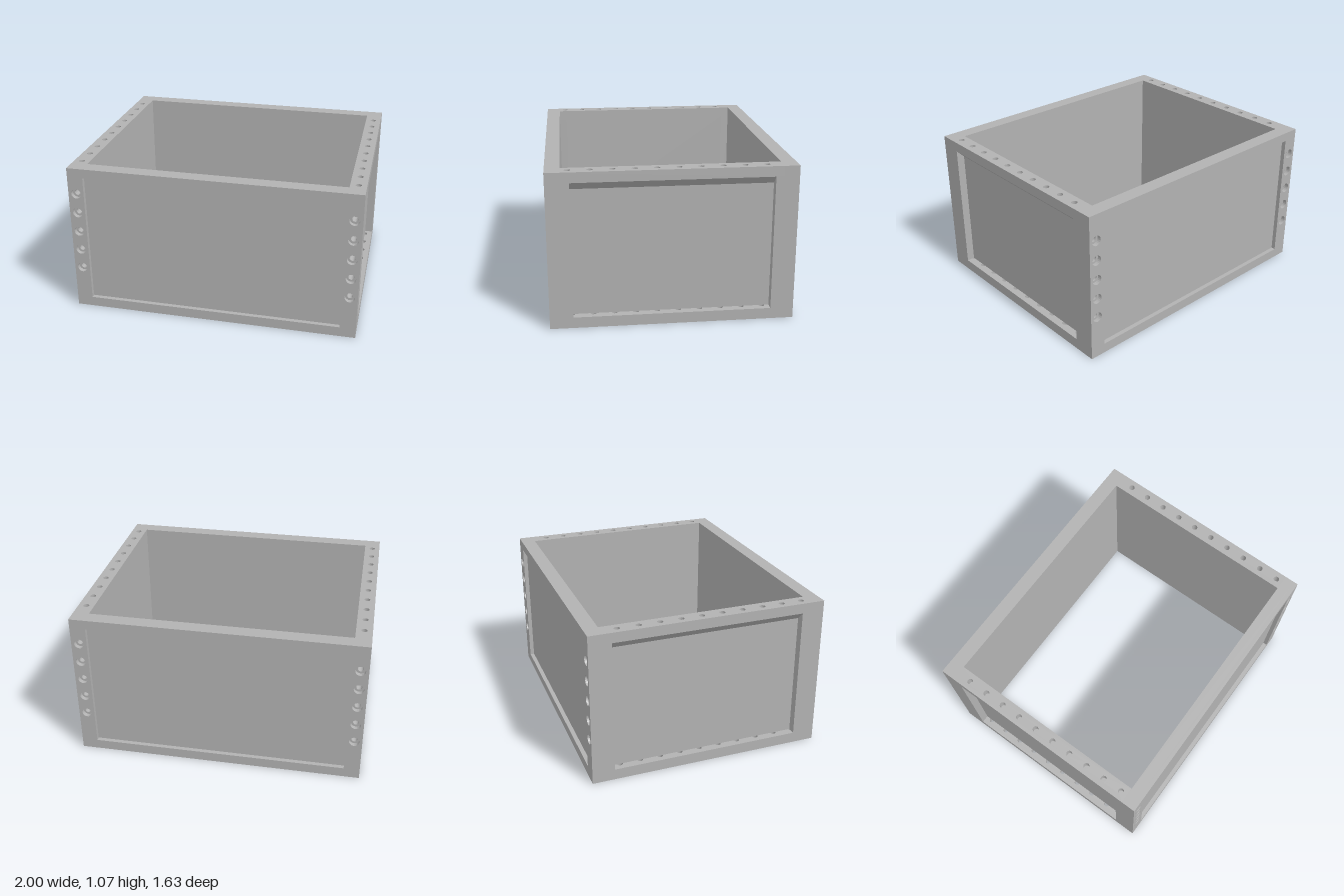
import * as THREE from 'three';

const W = 1, D = 0.815, H = 1.065;      // outer half width, half depth, height
const IN_X = 0.89, IN_Z = 0.715;        // inner opening half sizes
const BOLT_X = 0.945;                   // hole line along the side walls
const LOW = 0.075, HIGH = 0.995, POST_Z = 0.66; // side recess limits
const LIP = 0.03;                       // depth of the front and back recess

const rectPoints = (x0, y0, x1, y1) => [[x0, y0], [x1, y0], [x1, y1], [x0, y1]]
  .map(([x, y]) => new THREE.Vector2(x, y));

const circlePath = (x, y, r) => new THREE.Path().absarc(x, y, r, 0, Math.PI * 2, true);

const extrude = (shape, depth) =>
  new THREE.ExtrudeGeometry(shape, { depth, bevelEnabled: false, curveSegments: 10 });

export function createModel() {
  const model = new THREE.Group();
  model.name = 'openFrameBox';
  const grey = new THREE.MeshStandardMaterial({ color: 0xb2b2b2 });
  grey.name = 'plain grey';

  const add = (parent, name, geometry) => {
    const mesh = new THREE.Mesh(geometry, grey);
    mesh.name = name;
    parent.add(mesh);
    return mesh;
  };

  // Front or back wall: outer frame with counterbores, then panel with narrower holes
  const endWall = (name) => {
    const wall = new THREE.Group();
    wall.name = name;
    const frame = new THREE.Shape(rectPoints(-W, 0, W, H));
    frame.holes.push(new THREE.Path(rectPoints(-IN_X, 0.07, IN_X, 1)));
    const panel = new THREE.Shape(rectPoints(-W, 0, W, H));
    for (const side of [-1, 1]) {
      for (let i = 0; i < 5; i++) {
        const y = 0.31 + i * 0.1425;
        frame.holes.push(circlePath(side * BOLT_X, y, 0.035));
        panel.holes.push(circlePath(side * BOLT_X, y, 0.02));
      }
    }
    add(wall, 'outerFrame', extrude(frame, LIP)).position.z = D - LIP;
    add(wall, 'panel', extrude(panel, D - LIP - IN_Z)).position.z = IN_Z;
    model.add(wall);
    return wall;
  };
  endWall('frontWall');
  endWall('backWall').rotation.y = Math.PI;

  // Horizontal rail with a row of vertical holes
  const railGeometry = (side, height) => {
    const a = side * IN_X, b = side * W;
    const shape = new THREE.Shape(
      rectPoints(Math.min(a, b), -IN_Z, Math.max(a, b), IN_Z));
    for (let i = 0; i < 10; i++) {
      shape.holes.push(circlePath(side * BOLT_X, -0.61 + i * 0.1422, 0.02));
    }
    return extrude(shape, height).rotateX(Math.PI / 2);
  };

  // Side walls: rails, corner posts and a recessed panel with a sloped top
  for (const side of [1, -1]) {
    const wall = new THREE.Group();
    wall.name = side > 0 ? 'leftWall' : 'rightWall';
    add(wall, 'bottomRail', railGeometry(side, LOW)).position.y = LOW;
    add(wall, 'topRail', railGeometry(side, H - HIGH)).position.y = H;

    const profile = new THREE.Shape([
      [IN_X, LOW], [BOLT_X, LOW], [BOLT_X, 0.94], [W, HIGH], [IN_X, HIGH],
    ].map(([x, y]) => new THREE.Vector2(x, y)));
    const panel = extrude(profile, POST_Z * 2).translate(0, 0, -POST_Z);
    if (side < 0) panel.rotateY(Math.PI);
    add(wall, 'recessedPanel', panel);

    for (const end of [-1, 1]) {
      const post = new THREE.BoxGeometry(W - IN_X, HIGH - LOW, IN_Z - POST_Z);
      add(wall, 'cornerPost', post).position.set(
        side * (W + IN_X) / 2, (HIGH + LOW) / 2, end * (IN_Z + POST_Z) / 2);
    }
    model.add(wall);
  }

  return model;
}
